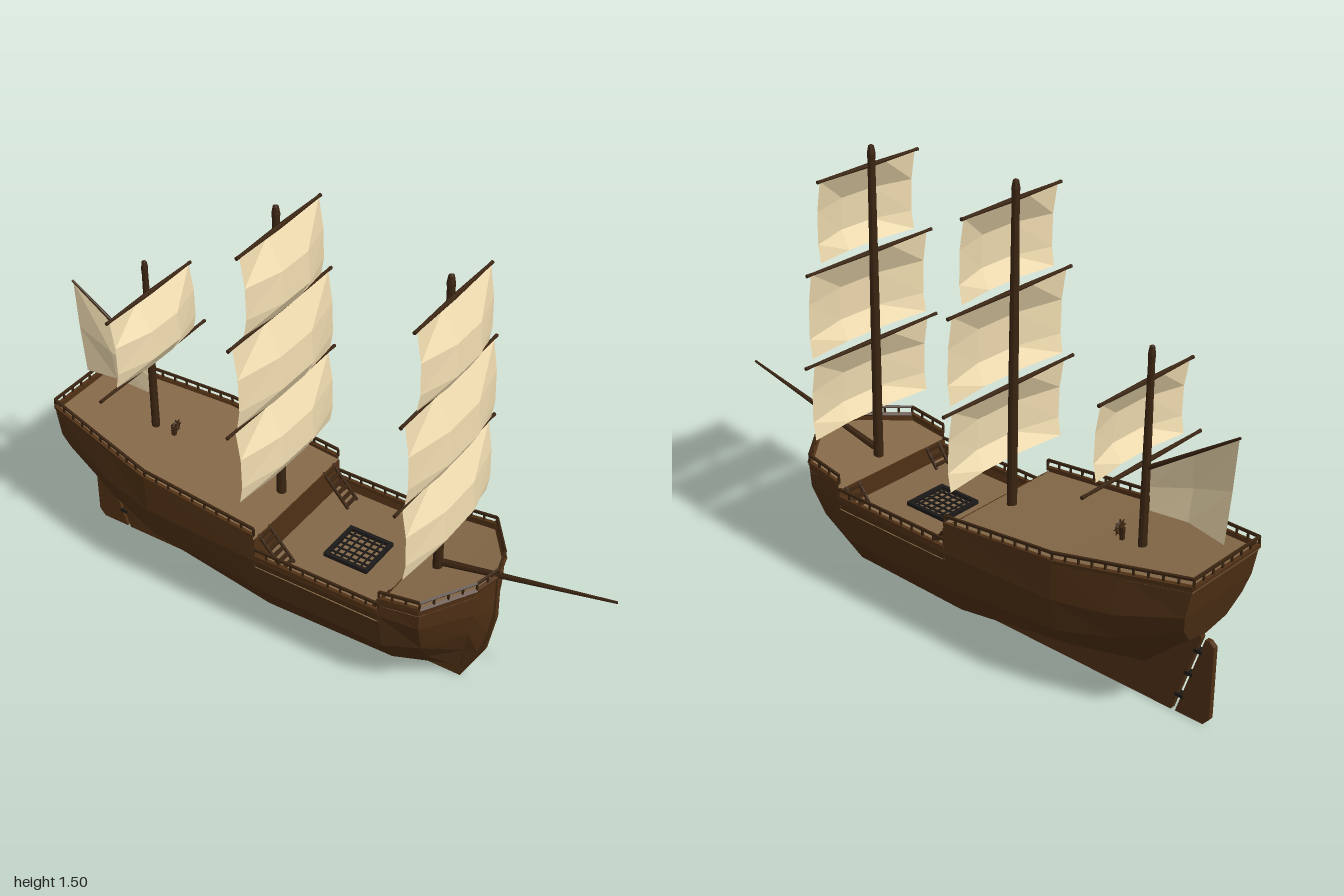
import * as THREE from 'three';

const mat = (color) => new THREE.MeshStandardMaterial({ color, flatShading: true, side: THREE.DoubleSide });
const HULL = mat(0x4f3015), DECK = mat(0x846848), SPAR = mat(0x3a2411), SAIL = mat(0xf0dcb0), IRON = mat(0x1c1a18);
const V = (x, y, z) => new THREE.Vector3(x, y, z);

function add(parent, name, geo, material) {
  const m = new THREE.Mesh(geo, material);
  m.name = name;
  parent.add(m);
  return m;
}

// Surface through a list of equally long point rows
function grid(rows) {
  const n = rows[0].length, idx = [];
  for (let i = 0; i < rows.length - 1; i++)
    for (let j = 0; j < n - 1; j++) {
      const a = i * n + j, b = a + 1, c = a + n, d = c + 1;
      idx.push(a, b, d, a, d, c);
    }
  const g = new THREE.BufferGeometry().setFromPoints(rows.flat());
  g.setIndex(idx);
  const flat = g.toNonIndexed();
  flat.computeVertexNormals();
  return flat;
}

// Straight bar between two points: square, or round and tapered
function bar(parent, name, a, b, w, material, endW = null) {
  const len = a.distanceTo(b);
  const geo = endW === null ? new THREE.BoxGeometry(w, len, w) : new THREE.CylinderGeometry(endW, w, len, 8);
  const m = add(parent, name, geo, material);
  m.position.copy(a).add(b).multiplyScalar(0.5);
  m.quaternion.setFromUnitVectors(V(0, 1, 0), b.clone().sub(a).normalize());
  return m;
}

// Flat plate in the centre plane
function plate(parent, name, pts, depth, material) {
  const g = new THREE.ExtrudeGeometry(new THREE.Shape(pts.map(([x, y]) => new THREE.Vector2(x, y))), { depth, bevelEnabled: false });
  return add(parent, name, g.translate(0, 0, -depth / 2), material);
}

// Hull stations, stern to bow; each runs from the gunwale down to the keel
const at = (x, list) => list.map(([y, z]) => [x, y, z]);
const mid = [[0.355, 0.246], [0.215, 0.222], [0.113, 0.165], [0.025, 0.005]];
const foreMid = [[0.355, 0.245], [0.21, 0.218], [0.108, 0.15], [0.02, 0.005]];
const stations = [
  [[-0.985, 0.555, 0.16], [-0.965, 0.45, 0.16], [-0.95, 0.39, 0.14], [-0.935, 0.33, 0.09], [-0.93, 0.31, 0.004]],
  [[-0.76, 0.527, 0.205], [-0.75, 0.39, 0.21], [-0.74, 0.29, 0.175], [-0.735, 0.21, 0.09], [-0.73, 0.12, 0.005]],
  at(-0.55, [[0.5, 0.245], [0.37, 0.245], [0.25, 0.215], [0.16, 0.135], [0.085, 0.005]]),
  at(-0.125, [[0.455, 0.245], ...mid]),
  at(-0.125, [[0.372, 0.245], ...mid]),
  at(0.335, [[0.372, 0.245], ...foreMid]),
  at(0.335, [[0.422, 0.245], ...foreMid]),
  [[0.475, 0.443, 0.24], [0.472, 0.36, 0.235], [0.46, 0.24, 0.19], [0.44, 0.13, 0.11], [0.45, 0.02, 0.005]],
  [[0.585, 0.463, 0.09], [0.58, 0.36, 0.09], [0.56, 0.26, 0.075], [0.53, 0.15, 0.04], [0.5, 0.03, 0.005]],
  [[0.61, 0.468, 0.004], [0.61, 0.33, 0.004], [0.592, 0.22, 0.004], [0.56, 0.12, 0.004], [0.505, 0.02, 0.004]],
];

function makeHull(ship) {
  const hull = new THREE.Group();
  hull.name = 'hull';
  ship.add(hull);
  const pt = ([x, y, z], s) => V(x, y, z * s);
  // Both sides in one loft, open along the top
  add(hull, 'hullPlanking', grid(stations.map((st) => [...st.map((p) => pt(p, 1)), ...[...st].reverse().map((p) => pt(p, -1))])), HULL);
  add(hull, 'transom', grid([1, -1].map((s) => stations[0].map((p) => pt(p, s)))), HULL);

  // Decks sit just below the gunwale
  const deck = (name, list, drop) =>
    add(hull, name, grid(list.map(([[x, y, z]]) => [V(x, y - drop, -z), V(x, y - drop, z)])), DECK);
  deck('poopDeck', stations.slice(0, 4), 0.015);
  deck('mainDeck', stations.slice(4, 6), 0.042);
  deck('foreDeck', stations.slice(6), 0.025);
  for (const [name, x, top] of [['poopBulkhead', -0.125, 0.44], ['foreBulkhead', 0.335, 0.397]])
    add(hull, name, new THREE.BoxGeometry(0.008, top - 0.33, 0.488), HULL).position.set(x, (top + 0.33) / 2, 0);

  // Keel, stem and rudder
  plate(hull, 'keelAndStem', [[-0.83, 0], [0.505, 0], [0.585, 0.15], [0.615, 0.3], [0.615, 0.475], [0.59, 0.475], [0.59, 0.3],
    [0.55, 0.16], [0.48, 0.04], [-0.1, 0.045], [-0.4, 0.08], [-0.72, 0.15], [-0.91, 0.33], [-0.922, 0.29]], 0.02, HULL);
  plate(hull, 'rudder', [[-0.845, 0], [-0.945, 0], [-0.967, 0.025], [-0.967, 0.275], [-0.95, 0.29], [-0.935, 0.29]], 0.018, HULL);
  for (const y of [0.06, 0.15, 0.24])
    add(hull, 'rudderHinge', new THREE.BoxGeometry(0.03, 0.012, 0.022), IRON).position.set(-0.838 - y * 0.31, y, 0);
}

// Gunwale strip, posts and handrail along one edge
function railing(parent, a, b) {
  const H = 0.028, up = (p, h) => p.clone().add(V(0, h, 0));
  const n = Math.max(1, Math.round(a.distanceTo(b) / 0.045));
  bar(parent, 'gunwale', a, b, 0.012, HULL);
  bar(parent, 'handrail', up(a, H), up(b, H), 0.008, SPAR);
  for (let i = 0; i <= n; i++) {
    const p = a.clone().lerp(b, i / n);
    bar(parent, 'railPost', p, up(p, H), 0.006, SPAR);
  }
}

function makeRailings(ship) {
  const rails = new THREE.Group();
  rails.name = 'railings';
  ship.add(rails);
  const top = (i, s) => V(stations[i][0][0], stations[i][0][1], s * (stations[i][0][2] - 0.004));
  for (const s of [1, -1])
    for (const i of [0, 1, 2, 4, 6, 7, 8]) railing(rails, top(i, s), top(i + 1, s));
  railing(rails, top(0, 1), top(0, -1));
}

function makeDeckFittings(ship) {
  // Stairs from the main deck to the raised decks
  const stair = (x0, x1, yTop, steps) => {
    for (const s of [1, -1]) {
      const g = new THREE.Group();
      g.name = 'stairs';
      ship.add(g);
      for (let i = 0; i < steps; i++) {
        const t = (i + 0.5) / steps;
        add(g, 'stairTread', new THREE.BoxGeometry(Math.abs(x1 - x0) / steps * 0.8, 0.006, 0.055), SPAR)
          .position.set(x0 + (x1 - x0) * t, 0.33 + (yTop - 0.33) * t, s * 0.185);
      }
      for (const z of [0.157, 0.213])
        bar(g, 'stairStringer', V(x0, 0.33, s * z), V(x1, yTop, s * z), 0.008, SPAR);
    }
  };
  stair(-0.03, -0.128, 0.44, 6);
  stair(0.285, 0.335, 0.397, 3);

  // Grated hatch
  const hatch = new THREE.Group();
  hatch.name = 'hatchGrating';
  hatch.position.set(0.11, 0.337, 0);
  ship.add(hatch);
  for (let i = 0; i <= 6; i++) {
    const o = -0.075 + i * 0.025, w = i % 6 ? 0.005 : 0.013;
    bar(hatch, 'hatchBar', V(o, 0, -0.08), V(o, 0, 0.08), w, IRON);
    bar(hatch, 'hatchBar', V(-0.08, 0, o), V(0.08, 0, o), w, IRON);
  }

  // Steering wheel on its stand
  const wheel = new THREE.Group();
  wheel.name = 'steeringWheel';
  wheel.position.set(-0.605, 0.53, 0);
  ship.add(wheel);
  add(wheel, 'wheelRim', new THREE.TorusGeometry(0.018, 0.003, 5, 12), SPAR).rotation.y = Math.PI / 2;
  for (let i = 0; i < 4; i++) {
    const a = (i * Math.PI) / 4, d = V(0, Math.cos(a) * 0.027, Math.sin(a) * 0.027);
    bar(wheel, 'wheelSpoke', d.clone().negate(), d, 0.003, SPAR);
  }
  bar(wheel, 'wheelStand', V(-0.01, -0.04, 0), V(-0.01, 0.004, 0), 0.012, SPAR);
}

function yard(parent, x, y, half) {
  const pts = [[0, -half], [0.006, -half], [0.005, -half * 0.9], [0.008, 0], [0.005, half * 0.9], [0.006, half], [0, half]];
  const m = add(parent, 'yard', new THREE.LatheGeometry(pts.map(([r, h]) => new THREE.Vector2(r, h)), 8), SPAR);
  m.rotation.x = Math.PI / 2;
  m.position.set(x, y, 0);
}

// Square sail bellying forward: four rows, four columns
function squareSail(parent, x, top, height, half) {
  const rows = [[0, 0], [0.38, 0.052], [0.78, 0.058], [1, 0.024]].map(([t, d]) =>
    [[-1, 0.3], [-0.33, 1], [0.33, 1], [1, 0.3]].map(([c, f]) => V(x + d * f, top - t * height, c * half)));
  add(parent, 'squareSail', grid(rows), SAIL);
}

function makeMast(ship, name, x, base, top, r, sails) {
  const g = new THREE.Group();
  g.name = name;
  ship.add(g);
  const prof = [[r * 1.1, base], [r, base + (top - base) * 0.5], [r * 0.8, top - 0.05], [r * 0.9, top - 0.03], [r * 0.6, top - 0.005], [0, top]];
  add(g, 'mastPole', new THREE.LatheGeometry(prof.map(([a, b]) => new THREE.Vector2(a, b)), 10), SPAR).position.x = x;
  for (const [y, yardHalf, height, sailHalf] of sails) {
    yard(g, x + 0.012, y, yardHalf);
    if (height) squareSail(g, x + 0.014, y, height, sailHalf);
  }
  return g;
}

export function createModel() {
  const ship = new THREE.Group();
  ship.name = 'sailingShip';
  makeHull(ship);
  makeRailings(ship);
  makeDeckFittings(ship);

  // Masts with yards [height, half length, sail drop, sail half width]
  const set = (d) => [[1.437 - d, 0.215, 0.265, 0.203], [1.153 - d, 0.273, 0.285, 0.253], [0.85 - d, 0.293, 0.268, 0.253]];
  makeMast(ship, 'mainMast', -0.185, 0.43, 1.505, 0.015, set(0));
  makeMast(ship, 'foreMast', 0.4, 0.4, 1.475, 0.015, set(0.033));
  const mizzen = makeMast(ship, 'mizzenMast', -0.69, 0.48, 1.145, 0.013, [[1.03, 0.215, 0.245, 0.203], [0.77, 0.275, 0, 0]]);

  // Fore-and-aft sail hung from a sloping gaff
  bar(mizzen, 'gaff', V(-0.69, 0.758, 0), V(-0.998, 0.963, 0), 0.008, SPAR, 0.004);
  add(mizzen, 'gaffSail', grid([
    [V(-0.995, 0.96, 0), V(-0.85, 0.862, 0), V(-0.705, 0.765, 0)],
    [V(-0.982, 0.79, 0.004), V(-0.845, 0.745, 0.015), V(-0.703, 0.7, 0.004)],
    [V(-0.97, 0.617, 0), V(-0.84, 0.637, 0.006), V(-0.71, 0.627, 0)],
  ]), SAIL);

  bar(ship, 'bowsprit', V(0.42, 0.432, 0), V(0.999, 0.557, 0), 0.012, SPAR, 0.004);
  return ship;
}
